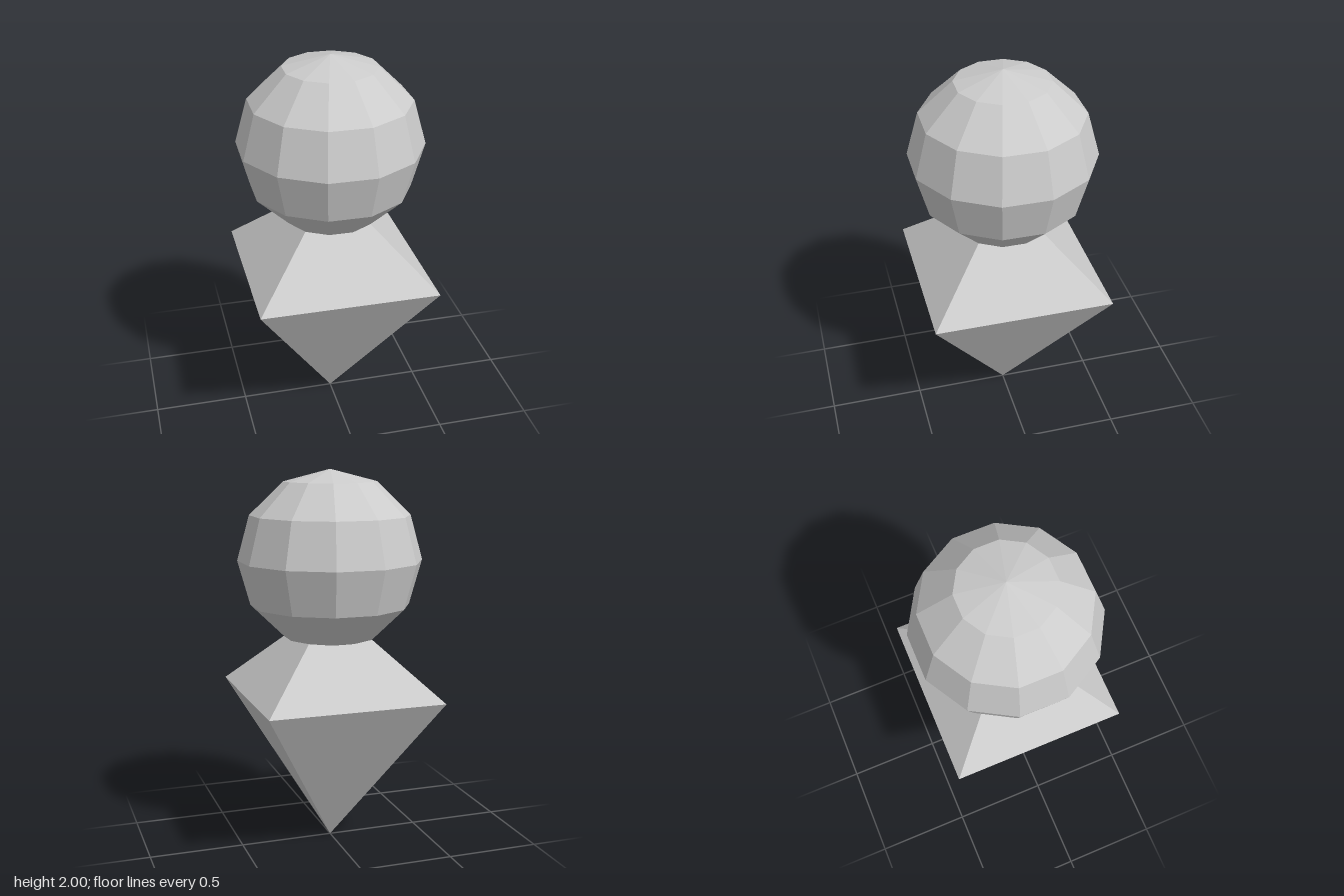
import * as THREE from 'three';

const HALF = 0.469; // half width shared by both parts

// Faceted solid of revolution with flat sides facing +-x and +-z
function facetedLathe(name, profile, sides) {
  const points = profile.map(([r, y]) => new THREE.Vector2(r / Math.cos(Math.PI / sides), y));
  const geometry = new THREE.LatheGeometry(points, sides);
  geometry.rotateY(Math.PI / sides);
  const material = new THREE.MeshStandardMaterial({ color: 0xcccccc, flatShading: true });
  const mesh = new THREE.Mesh(geometry, material);
  mesh.name = name;
  return mesh;
}

export function createModel() {
  const group = new THREE.Group();
  group.name = 'pointedMarker';

  // Four-sided body: long point below, shallow pyramid above
  group.add(facetedLathe('body', [[0, 0], [HALF, 0.827], [0, 1.3]], 4));

  // Low-poly ball resting on the body, its rings 30 degrees apart
  const rings = [];
  for (let i = 0; i <= 6; i++) {
    const a = (i * Math.PI) / 6;
    const r = i % 6 === 0 ? 0 : HALF * Math.sin(a);
    rings.push([r, 2 - HALF - HALF * Math.cos(a)]);
  }
  group.add(facetedLathe('head', rings, 12));

  return group;
}
